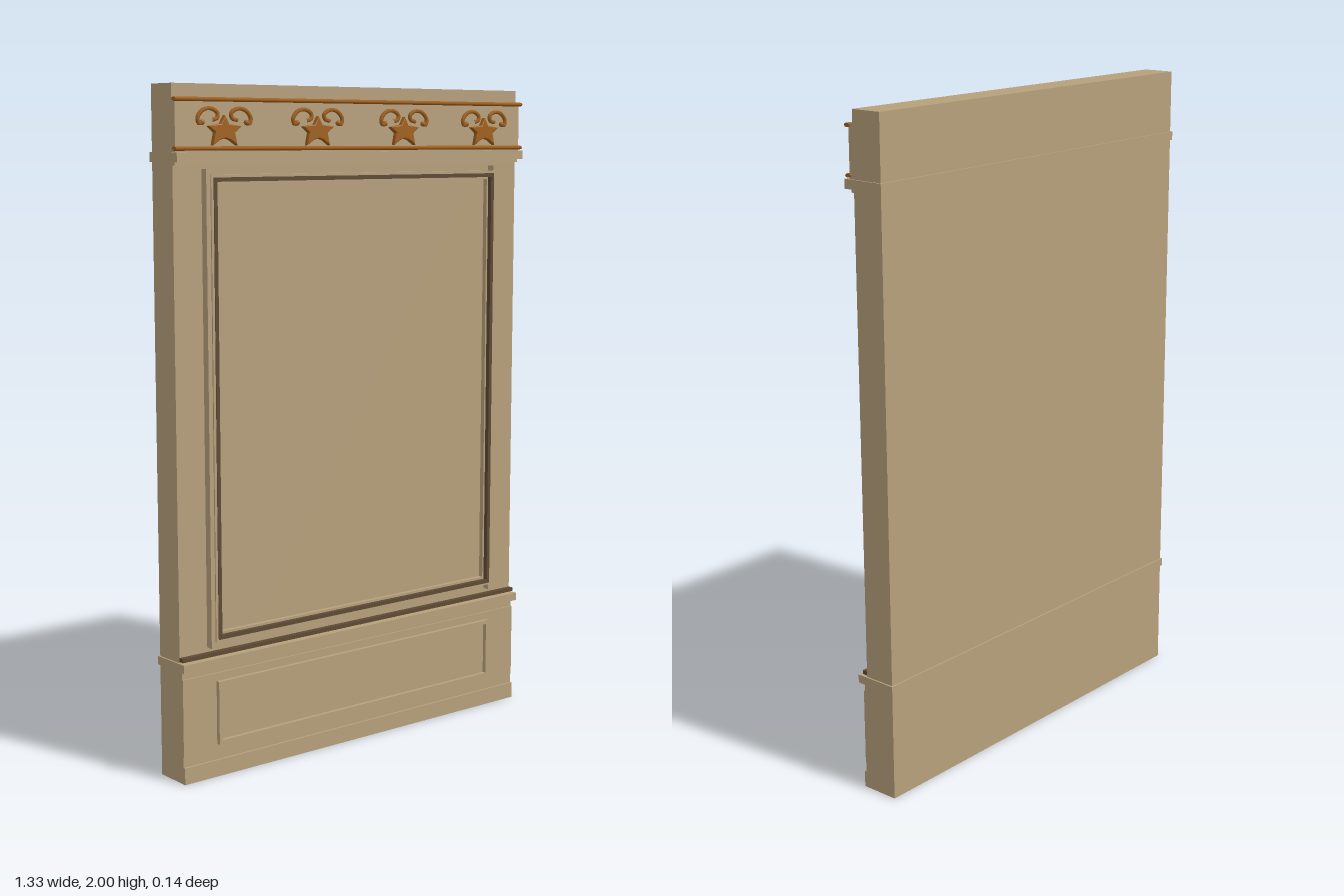
import * as THREE from 'three';

const mat = (name, color) => {
  const m = new THREE.MeshStandardMaterial({ color });
  m.name = name;
  return m;
};

export function createModel() {
  const group = new THREE.Group();
  const tan = mat('tan wood', 0xb7a07c);
  const bronze = mat('bronze trim', 0xa0601c);
  const dark = mat('dark bead', 0x5e4a35);

  const add = (name, geo, m, parent = group) => {
    const mesh = new THREE.Mesh(geo, m);
    mesh.name = name;
    parent.add(mesh);
    return mesh;
  };
  // Box given by its limits
  const box = (name, x0, x1, y0, y1, z0, z1, m = tan) => {
    const g = new THREE.BoxGeometry(x1 - x0, y1 - y0, z1 - z0);
    add(name, g.translate((x0 + x1) / 2, (y0 + y1) / 2, (z0 + z1) / 2), m);
  };
  // Rectangular picture-frame moulding
  const frame = (name, hw, y0, y1, w, z0, z1, m = tan) => {
    const rect = (p, i) => {
      p.moveTo(-hw + i, y0 + i); p.lineTo(hw - i, y0 + i);
      p.lineTo(hw - i, y1 - i); p.lineTo(-hw + i, y1 - i); p.closePath();
      return p;
    };
    const s = rect(new THREE.Shape(), 0);
    s.holes.push(rect(new THREE.Path(), w));
    const g = new THREE.ExtrudeGeometry(s, { depth: z1 - z0, bevelEnabled: false });
    add(name, g.translate(0, 0, z0), m);
  };
  const W = 0.66;

  // Slab and the horizontal rails that wrap it
  box('slab', -W, W, 0, 2, -0.065, 0.035);
  box('upperRail', -0.665, 0.665, 1.785, 1.812, -0.07, 0.065);
  box('lowerRail', -0.665, 0.665, 0.335, 0.36, -0.07, 0.065);
  box('upperRailStep', -W, W, 1.776, 1.785, 0.03, 0.045);
  box('lowerRailStep', -W, W, 0.312, 0.335, 0.03, 0.045);
  box('lowerRailBead', -W, W, 0.364, 0.376, 0.03, 0.052, dark);

  // Base and lower panel
  box('plinth', -W, W, 0, 0.05, 0.03, 0.055);
  box('plinthStep', -W, W, 0.05, 0.08, 0.03, 0.048);
  box('dadoBoard', -W, W, 0.08, 0.312, 0.03, 0.05);
  frame('dadoFrame', 0.542, 0.098, 0.288, 0.012, 0.045, 0.063);

  // Large central panel with stepped mouldings
  for (const s of [-1, 1]) {
    const a = s * 0.543, b = s * 0.563;
    box('stile', Math.min(a, b), Math.max(a, b), 0.39, 1.765, 0.03, 0.058);
  }
  frame('outerMoulding', 0.549, 0.408, 1.75, 0.012, 0.03, 0.062);
  frame('darkBead', 0.541, 0.414, 1.742, 0.012, 0.03, 0.064, dark);
  frame('innerMoulding', 0.53, 0.426, 1.731, 0.007, 0.03, 0.05);

  // Frieze with bronze borders
  box('friezeBoard', -W, W, 1.812, 1.962, 0.03, 0.05);
  for (const y of [1.822, 1.957]) {
    const g = new THREE.CylinderGeometry(0.006, 0.006, 1.33, 8).rotateZ(Math.PI / 2);
    add('friezeBorder', g.scale(1, 1, 1.7).translate(0, y, 0.052), bronze);
  }

  // Five-lobed leaf shape
  const leaf = new THREE.Shape([
    [0, 0.036], [0.014, 0.012], [0.057, 0.006], [0.034, -0.012], [0.042, -0.048],
    [0.018, -0.033], [0, -0.028], [-0.018, -0.033], [-0.042, -0.048],
    [-0.034, -0.012], [-0.057, 0.006], [-0.014, 0.012],
  ].map(([x, y]) => new THREE.Vector2(x, y)));
  const leafGeo = new THREE.ExtrudeGeometry(leaf, {
    depth: 0.008, bevelSize: 0.003, bevelThickness: 0.005, bevelOffset: -0.003, bevelSegments: 2,
  });
  const scroll = [[0.014, 0.004], [0.045, -0.002], [0.058, 0.012], [0.044, 0.022], [0.026, 0.028],
    [0.024, 0.042], [0.046, 0.054], [0.074, 0.049], [0.091, 0.028], [0.085, 0.012], [0.074, 0.017]];

  // Repeated leaf-and-scroll ornaments
  for (let i = 0; i < 4; i++) {
    const orn = new THREE.Group();
    orn.name = 'ornament';
    orn.position.set((i - 1.5) * 0.333, 1.878, 0.052);
    add('leaf', leafGeo, bronze, orn);
    for (const s of [-1, 1]) {
      const curve = new THREE.CatmullRomCurve3(
        scroll.slice(3).map(([x, y]) => new THREE.Vector3(s * x, y, 0.007)));
      add('scroll', new THREE.TubeGeometry(curve, 32, 0.006, 6), bronze, orn);
      const tip = new THREE.SphereGeometry(0.008, 8, 6);
      add('scrollTip', tip.translate(s * 0.076, 0.016, 0.007), bronze, orn);
    }
    group.add(orn);
  }
  return group;
}
